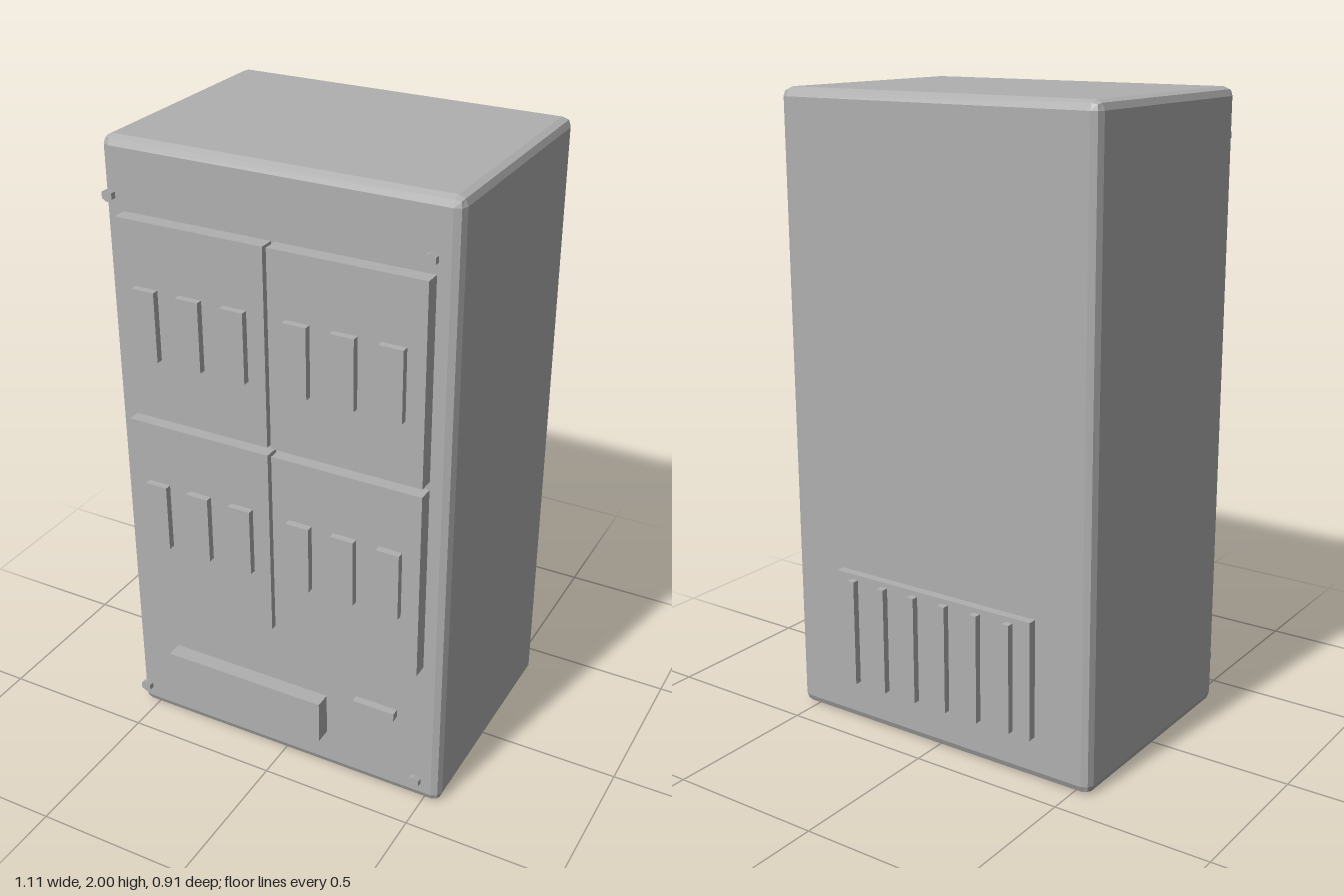
import * as THREE from 'three';
import { RoundedBoxGeometry } from 'three/addons/geometries/RoundedBoxGeometry.js';

export function createModel() {
  const model = new THREE.Group();
  model.name = 'cabinet';
  const grey = new THREE.MeshStandardMaterial({ color: 0xb0b0b0 });
  grey.name = 'cabinet grey';

  function add(name, geometry, x, y, z) {
    const mesh = new THREE.Mesh(geometry, grey);
    mesh.name = name;
    mesh.position.set(x, y, z);
    model.add(mesh);
    return mesh;
  }
  const box = (name, w, h, d, x, y, z) => add(name, new THREE.BoxGeometry(w, h, d), x, y, z);

  // Main housing with faceted bevelled edges
  const housing = new RoundedBoxGeometry(1.11, 2, 0.787, 1, 0.028);
  housing.computeVertexNormals();
  add('housing', housing, 0, 1, -0.0115);

  // Four front panels, each with three raised switches
  for (const [panelY, switchY] of [[1.475, 1.475], [0.828, 0.828]]) {
    for (const side of [-1, 1]) {
      box('frontPanel', 0.482, 0.62, 0.06, side * 0.247, panelY, 0.4);
      for (const offset of [-0.147, 0, 0.147]) {
        box('switch', 0.075, 0.22, 0.026, side * 0.247 + offset, switchY, 0.439);
      }
    }
  }

  // Lower drawer panel and small handle bar
  box('lowerPanel', 0.557, 0.145, 0.06, -0.12, 0.211, 0.404);
  box('handle', 0.14, 0.027, 0.025, 0.344, 0.328, 0.415);

  // Hexagonal corner screws
  const screw = new THREE.CylinderGeometry(0.019, 0.019, 0.018, 6).toNonIndexed();
  screw.computeVertexNormals();
  screw.rotateX(Math.PI / 2);
  for (const x of [-0.496, 0.496]) {
    for (const y of [0.12, 1.85]) add('screw', screw, x, y, 0.438);
  }

  // Rear vent plate with six vertical slats
  box('ventPlate', 0.73, 0.376, 0.05, 0, 0.328, -0.408);
  for (let i = 0; i < 6; i++) {
    box('ventSlat', 0.024, 0.346, 0.03, (i - 2.5) * 0.1172, 0.327, -0.44);
  }

  return model;
}
